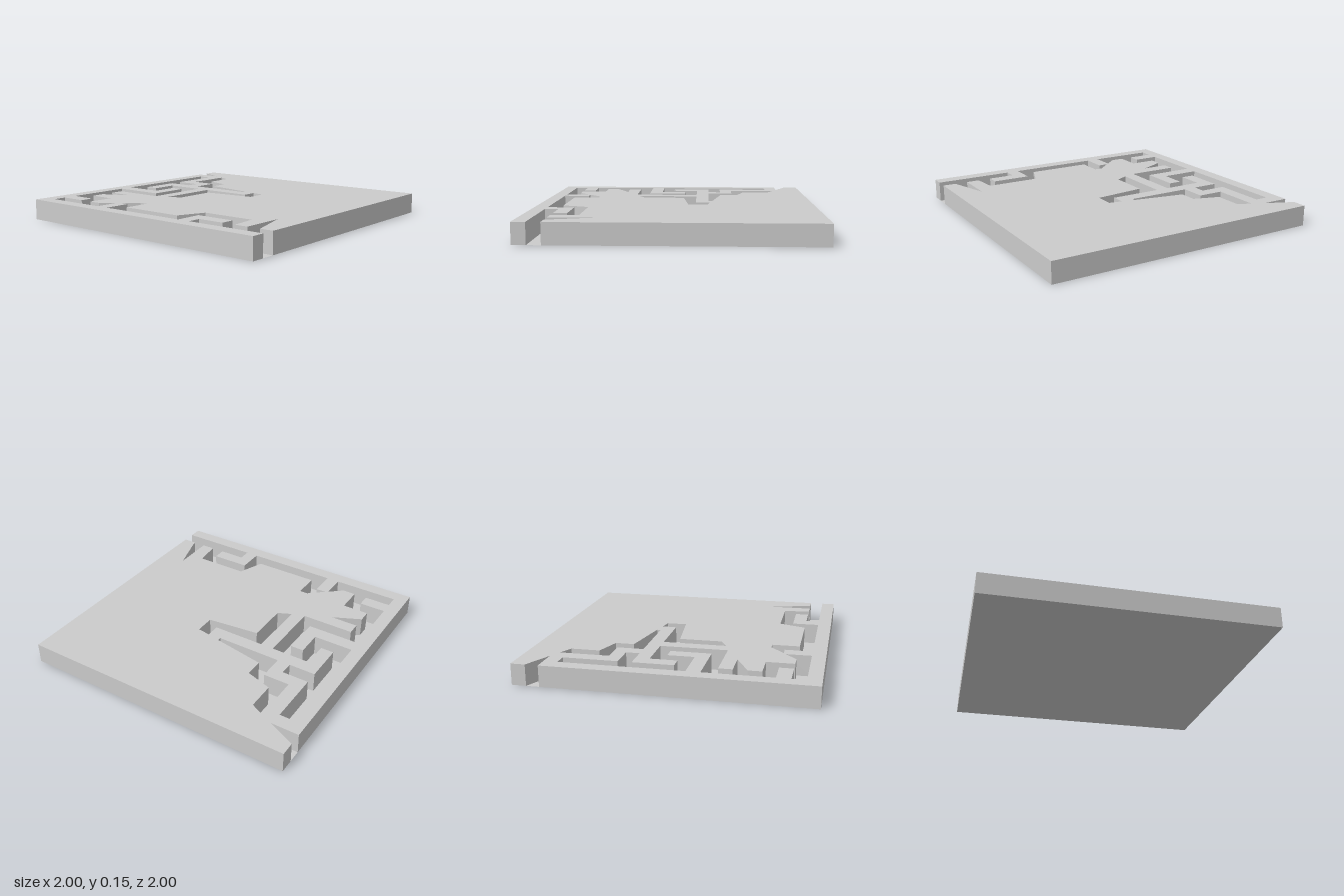
import * as THREE from 'three';

const HEIGHT = 0.147;

// Turns a flat list of x, z pairs into outline points (shape y is -z)
function outline(list) {
  const points = [];
  for (let i = 0; i < list.length; i += 2) points.push(new THREE.Vector2(list[i], -list[i + 1]));
  return points;
}

// Winding passage that opens through the front edge
const entrance = [
  -0.905, 1, -0.905, 0.425, -0.81, 0.425, -0.81, 0.617, -0.714, 0.617,
  -0.714, 0.333, -0.905, 0.333, -0.905, -0.335, -0.714, -0.335, -0.714, -0.41,
  -0.619, -0.3, -0.619, -0.24, -0.81, -0.24, -0.81, 0.235, -0.619, 0.31,
  -0.619, 0.695, -0.81, 0.714, -0.81, 0.81, -0.5, 0.81, -0.81, 0.905, -0.81, 1,
];

// Tapered notch in the back edge
const exitNotch = [0.9, -1, 0.81, -0.8, 0.81, -1];

// Closed passages cut into the block
const passages = [
  [ // long back passage
    -0.905, -0.905, -0.81, -0.905, -0.81, -0.714, -0.714, -0.714, -0.714, -0.905,
    -0.24, -0.905, -0.24, -0.525, 0.046, -0.525, 0.046, -0.619, -0.143, -0.619,
    -0.143, -0.905, 0.714, -0.905, 0.714, -0.81, 0.333, -0.81, 0.333, -0.619,
    0.238, -0.619, 0.238, -0.81, -0.048, -0.81, -0.048, -0.714, 0.142, -0.714,
    0.142, -0.43, -0.335, -0.43, -0.335, -0.81, -0.43, -0.81, -0.43, -0.61,
    -0.525, -0.81, -0.619, -0.81, -0.619, -0.619, -0.81, -0.619, -0.81, -0.525,
    -0.73, -0.43, -0.905, -0.43,
  ],
  [ // central hook
    -0.305, -0.335, 0.142, -0.335, 0.142, 0.046, 0.245, 0.046,
    0.23, 0.14, 0.087, 0.14, 0.045, -0.24, -0.26, -0.24,
  ],
  [ // stepped wedge
    0.238, -0.525, 0.425, -0.525, 0.425, -0.714, 0.77, -0.714, 0.725, -0.619,
    0.523, -0.619, 0.465, -0.43, 0.333, -0.43, 0.265, -0.05, 0.238, -0.05,
  ],
];

export function createModel() {
  const group = new THREE.Group();
  group.name = 'mazeSlab';
  const material = new THREE.MeshStandardMaterial({ color: 0xcccccc, flatShading: true });

  // Walls: square block with the passages cut right through
  const shape = new THREE.Shape(outline([-1, 1, ...entrance, 1, 1, 1, -1, ...exitNotch, -1, -1]));
  for (const passage of passages) shape.holes.push(new THREE.Path(outline(passage)));
  const wallGeometry = new THREE.ExtrudeGeometry(shape, { depth: HEIGHT, bevelEnabled: false });
  wallGeometry.rotateX(-Math.PI / 2);
  const walls = new THREE.Mesh(wallGeometry, material);
  walls.name = 'mazeWalls';
  group.add(walls);

  // Thin floor closing the bottom of every passage
  const floorMaterial = material.clone();
  floorMaterial.side = THREE.DoubleSide;
  const floor = new THREE.Mesh(new THREE.PlaneGeometry(2, 2).rotateX(-Math.PI / 2), floorMaterial);
  floor.name = 'floor';
  group.add(floor);

  return group;
}
